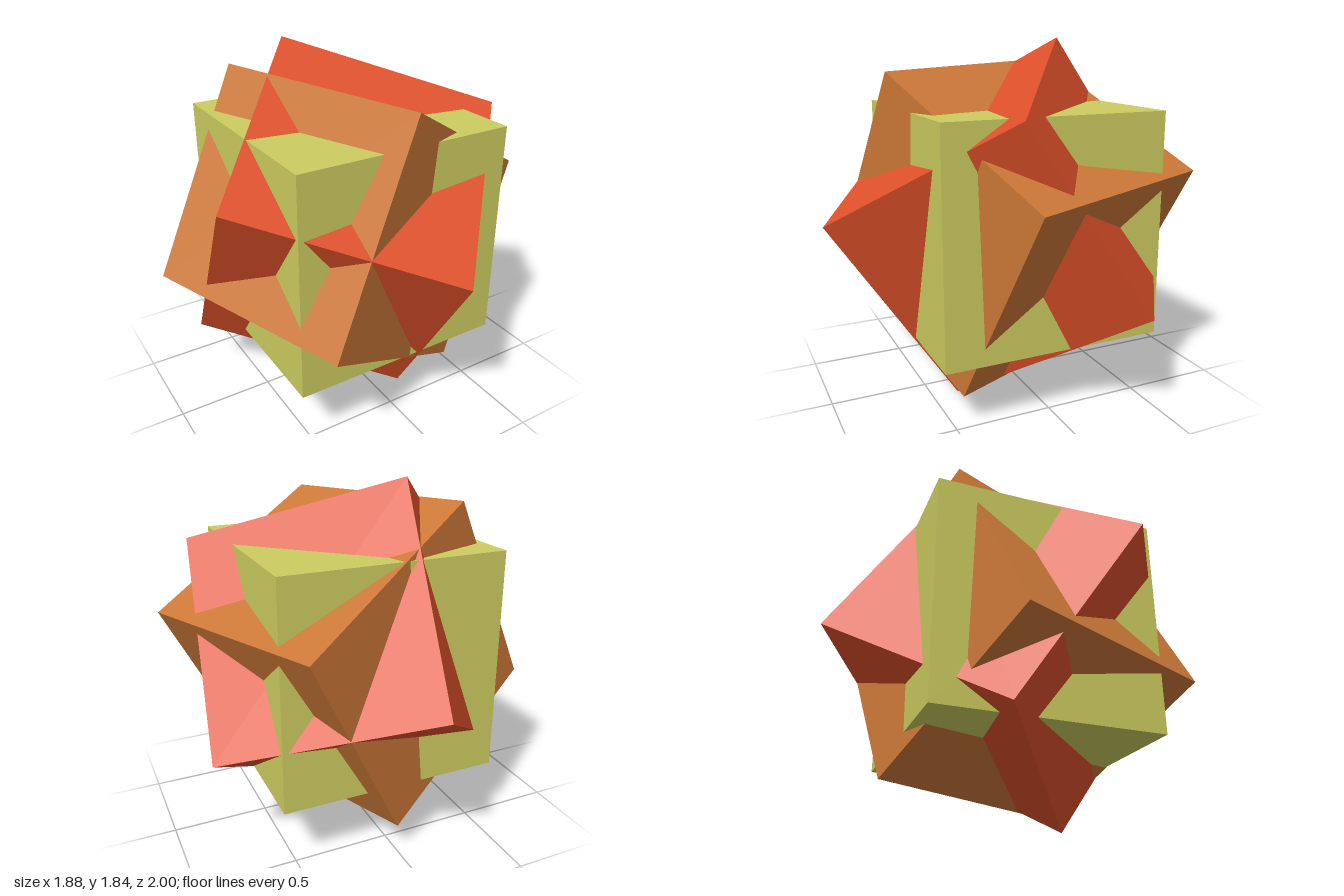
import * as THREE from 'three';

const SIDE = 2 / Math.sqrt(3); // cube inscribed in a unit sphere
const CENTRE_Y = 0.9225;

// One cube, turned so its local x and y edges follow the given directions
function cube(name, color, xDir, yDir) {
  const x = new THREE.Vector3(...xDir).normalize();
  const z = new THREE.Vector3().crossVectors(x, new THREE.Vector3(...yDir)).normalize();
  const y = new THREE.Vector3().crossVectors(z, x);
  const mesh = new THREE.Mesh(
    new THREE.BoxGeometry(SIDE, SIDE, SIDE),
    new THREE.MeshStandardMaterial({ color, flatShading: true })
  );
  mesh.name = name;
  mesh.quaternion.setFromRotationMatrix(new THREE.Matrix4().makeBasis(x, y, z));
  mesh.position.y = CENTRE_Y;
  return mesh;
}

export function createModel() {
  const group = new THREE.Group();
  group.name = 'threeCubeCompound';
  group.add(
    cube('yellowCube', 0xcccc60, [1, 0, 0], [0, 1, 0]),
    cube('orangeCube', 0xcc7838, [0.9425, -0.5425, -0.38], [-0.5225, -1.0175, 0.165]),
    cube('redCube', 0xdd502a, [0.91, -0.3325, 0.6325], [-0.705, -0.5475, 0.7275])
  );
  return group;
}
